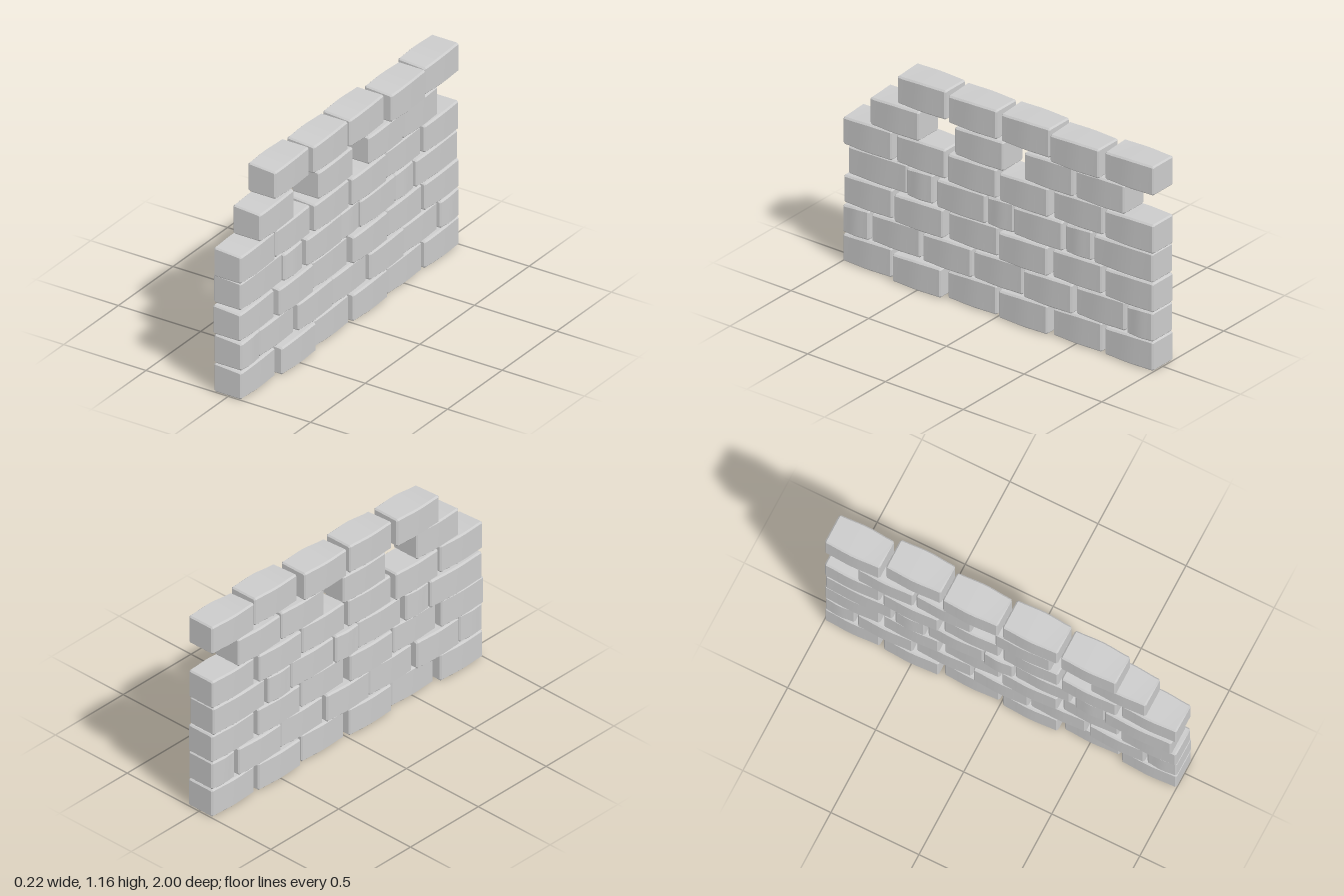
import * as THREE from 'three';
import { toCreasedNormals } from 'three/addons/utils/BufferGeometryUtils.js';

const material = new THREE.MeshStandardMaterial({ color: 0xcccccc });
const COURSE = 0.166, HEIGHT = 0.166, WIDTH = 0.168, BEVEL = 0.008;

// Bevelled block along z, slightly bulged at mid length, one top edge worn down
function brickGeometry(length) {
  const w = WIDTH / 2, h = HEIGHT / 2, c = BEVEL;
  const a = w - c, b = h - c, k = 0.004;
  const section = new THREE.Shape([
    [-a + k, -b], [a - k, -b], [a, -b + k], [a, b - k],
    [a - k, b], [-a + k, b], [-a, b - k], [-a, -b + k],
  ].map(([x, y]) => new THREE.Vector2(x, y)));
  const geometry = new THREE.ExtrudeGeometry(section, {
    depth: length - 2 * c, steps: 8, bevelEnabled: true,
    bevelSize: c, bevelThickness: c, bevelSegments: 1,
  });
  geometry.translate(0, 0, c - length / 2);
  const p = geometry.attributes.position;
  for (let i = 0; i < p.count; i++) {
    const x = p.getX(i), y = p.getY(i), t = p.getZ(i) / (length / 2);
    const bulge = 0.007 * Math.cos(t * Math.PI / 2) ** 2;
    p.setX(i, x + Math.sign(x) * bulge);
    if (x > 0 && y > 0) p.setY(i, y - 0.01 * THREE.MathUtils.smoothstep(t, -0.1, 0.9));
  }
  return toCreasedNormals(geometry, 0.5);
}

// Each course: [z centre, length, sideways shift] for every brick
const L = 0.312, S = 0.168;
const fullCourse = (shifts) => shifts.map((s, i) => [0.843 - i * 0.337, L, s]);
const courses = [
  fullCourse([-0.006, 0.02, -0.008, 0.006, -0.012, -0.006]),
  [[0.915, S, -0.004], [0.663, L, -0.012], [0.325, L, 0], [0.003, L, -0.01],
    [-0.325, L, 0.004], [-0.652, L, -0.014], [-0.912, S, -0.005]],
  fullCourse([-0.012, 0.004, -0.016, 0.008, -0.01, -0.006]),
  [[0.788, 0.378, -0.022], [0.51, S, -0.012], [0.239, L, -0.004], [-0.008, S, -0.014],
    [-0.255, L, -0.006], [-0.51, S, -0.016], [-0.802, 0.378, -0.01]],
  fullCourse([-0.007, -0.016, -0.004, 0, -0.018, -0.008]),
  [[0.668, L, -0.006], [0.126, L, -0.008], [-0.325, L, -0.004], [-0.652, L, -0.01]],
  fullCourse([0, -0.022, -0.01, -0.015, 0.014, -0.007]).slice(1),
];

export function createModel() {
  const wall = new THREE.Group();
  wall.name = 'brickWall';
  const cache = {};
  courses.forEach((bricks, row) => {
    const course = new THREE.Group();
    course.name = `course${row + 1}`;
    bricks.forEach(([z, length, shift], i) => {
      cache[length] ??= brickGeometry(length);
      const brick = new THREE.Mesh(cache[length], material);
      brick.name = `brick${i + 1}`;
      brick.position.set(shift, HEIGHT / 2 + row * COURSE, z);
      course.add(brick);
    });
    wall.add(course);
  });
  return wall;
}
